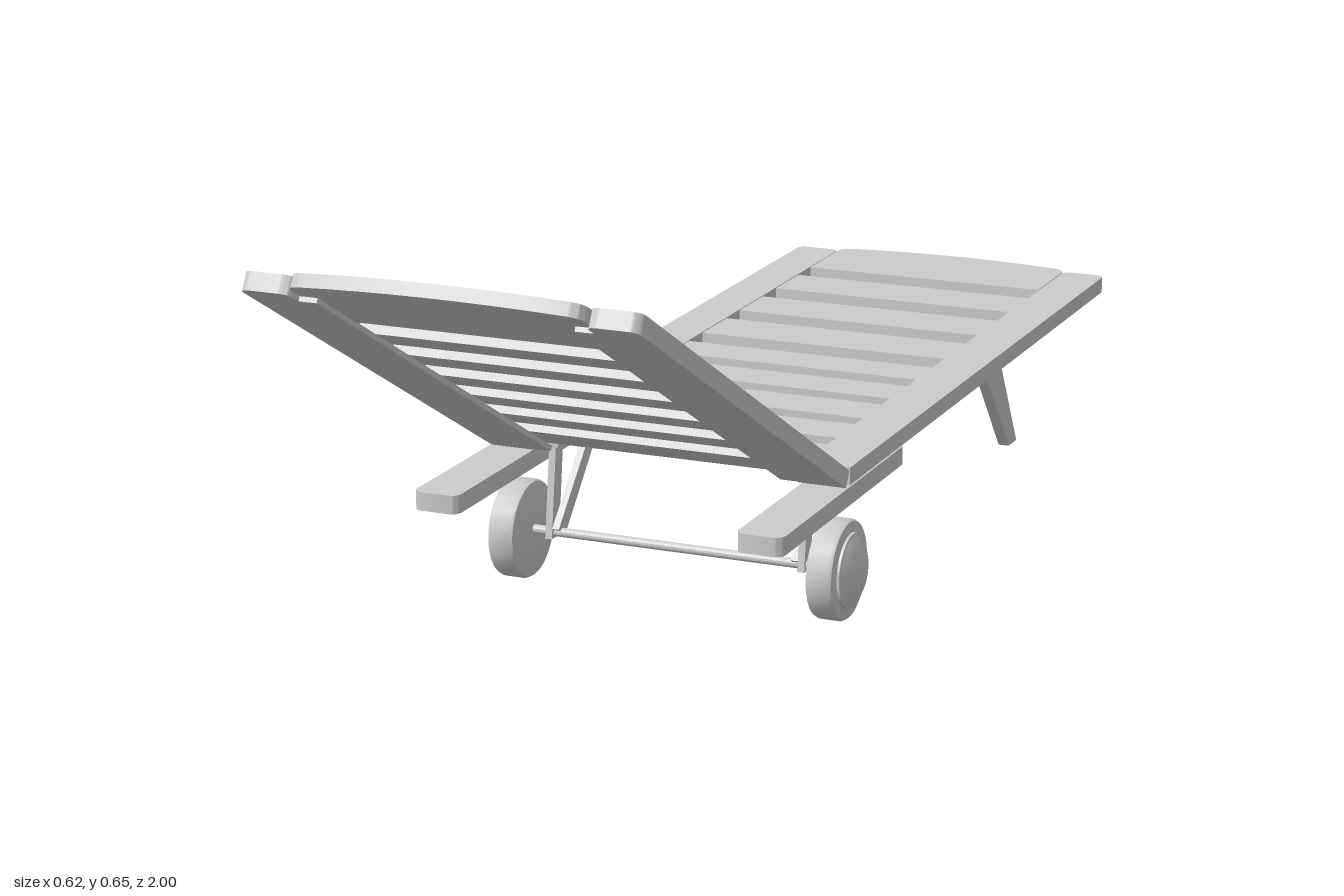
import * as THREE from 'three';
import { toCreasedNormals } from 'three/addons/utils/BufferGeometryUtils.js';

const material = new THREE.MeshStandardMaterial({ color: 0xcccccc, side: THREE.DoubleSide });

function add(parent, name, geometry) {
  const mesh = new THREE.Mesh(toCreasedNormals(geometry, 0.6), material);
  mesh.name = name;
  parent.add(mesh);
  return mesh;
}

// Flat board in the xz plane; r0 and r1 round the corners at each end, bow curves the far end
function board(x, width, z0, z1, y0, y1, { r0 = 0, r1 = 0, bow = 0 } = {}) {
  const a = x - width / 2, b = x + width / 2, end = z1 - bow;
  const s = new THREE.Shape();
  s.moveTo(a + r0, z0);
  s.lineTo(b - r0, z0);
  if (r0) s.quadraticCurveTo(b, z0, b, z0 + r0);
  s.lineTo(b, end - r1);
  if (r1) s.quadraticCurveTo(b, end, b - r1, end + bow * 0.2);
  if (bow) s.quadraticCurveTo(x, z1 + bow * 0.8, a + r1, end + bow * 0.2);
  else s.lineTo(a + r1, end);
  if (r1) s.quadraticCurveTo(a, end, a, end - r1);
  s.lineTo(a, z0 + r0);
  if (r0) s.quadraticCurveTo(a, z0, a + r0, z0);
  return new THREE.ExtrudeGeometry(s, { depth: y1 - y0, bevelEnabled: false, curveSegments: 8 })
    .rotateX(Math.PI / 2).translate(0, y1, 0);
}

// Side profile in (z, y), extruded across x
function sidePlate(points, x, thickness) {
  const s = new THREE.Shape(points.map(([z, y]) => new THREE.Vector2(z, y)));
  return new THREE.ExtrudeGeometry(s, { depth: thickness, bevelEnabled: false })
    .rotateY(-Math.PI / 2).translate(x + thickness / 2, 0, 0);
}

// Slatted frame running along +z from the hinge
function deck(name, railLength, panelStart, panelEnd, ledgerEnd, slats) {
  const g = new THREE.Group();
  g.name = name;
  for (const side of [-1, 1]) {
    add(g, 'sideRail', board(side * 0.2435, 0.072, 0, railLength, 0, 0.026, { r1: 0.016 }));
    add(g, 'slatLedger', board(side * 0.194, 0.026, 0.005, ledgerEnd, 0, 0.008));
  }
  for (const [a, b] of slats) add(g, 'slat', board(0, 0.414, a, b, 0.008, 0.025));
  add(g, 'endPanel', board(0, 0.412, panelStart, panelEnd, 0.007, 0.026, { r1: 0.018, bow: 0.022 }));
  return g;
}

export function createModel() {
  const model = new THREE.Group();
  model.name = 'sunLounger';
  const body = new THREE.Group();
  body.name = 'lounger';
  body.rotation.y = 0.032;
  model.add(body);

  // Flat bed
  const bed = deck('bed', 1.212, 1.075, 1.245, 1.18, [
    [0.01, 0.1], [0.135, 0.21], [0.245, 0.325], [0.36, 0.435],
    [0.475, 0.55], [0.605, 0.705], [0.76, 0.86], [0.92, 1.02],
  ]);
  bed.position.set(0, 0.21, 0.245);
  bed.rotation.y = Math.PI;
  body.add(bed);

  // Raised backrest
  const backSlats = [[0.025, 0.093]];
  for (let i = 0; i < 5; i++) backSlats.push([0.147 + i * 0.1046, 0.197 + i * 0.1046]);
  const back = deck('backrest', 0.82, 0.676, 0.854, 0.79, backSlats);
  back.position.set(0, 0.21, 0.26);
  back.rotation.x = -29.5 * Math.PI / 180;
  body.add(back);

  const wheelProfile = [
    [0, 0.23], [0.066, 0.23], [0.072, 0.232], [0.0745, 0.237], [0.0745, 0.266], [0.072, 0.271],
    [0.066, 0.273], [0.056, 0.273], [0.056, 0.277], [0.051, 0.28], [0.036, 0.287], [0.018, 0.292], [0, 0.294],
  ].map(([r, y]) => new THREE.Vector2(r, y));

  for (const side of [-1, 1]) {
    // Lower boards that carry the hinge
    add(body, 'supportBoard', board(side * 0.247, 0.07, 0.02, 0.508, 0.182, 0.2095, { r0: 0.02, r1: 0.016 }));

    // Tapered rear legs
    add(body, 'leg', sidePlate([[-0.694, 0], [-0.732, 0], [-0.608, 0.216], [-0.517, 0.216]], side * 0.196, 0.018));

    // Wheel struts
    add(body, 'uprightStrut', sidePlate(
      [[0.21, 0.066], [0.235, 0.066], [0.216, 0.215], [0.191, 0.215]], side * 0.201, 0.011));
    add(body, 'diagonalStrut', sidePlate(
      [[0.212, 0.068], [0.234, 0.082], [0.108, 0.215], [0.076, 0.215]], side * 0.19, 0.011));

    // Wheels with domed hubs
    const wheel = add(body, 'wheel', new THREE.LatheGeometry(wheelProfile, 40).rotateZ(-Math.PI / 2));
    wheel.position.set(0, 0.0745, 0.222);
    if (side < 0) wheel.rotation.y = Math.PI;
  }

  // Axle
  add(body, 'axle', new THREE.CylinderGeometry(0.007, 0.007, 0.47, 16).rotateZ(Math.PI / 2))
    .position.set(0, 0.0745, 0.222);

  return model;
}
